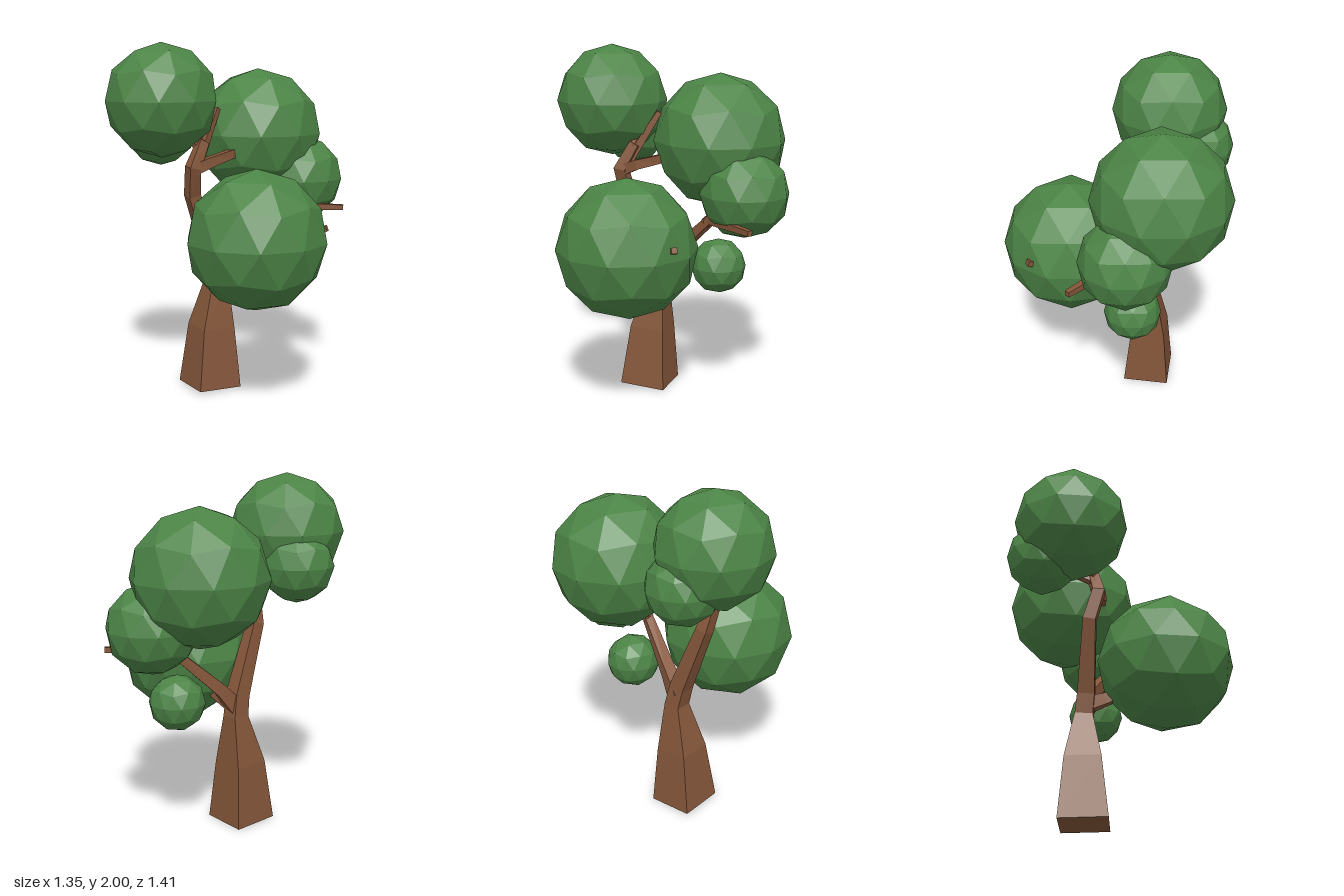
import * as THREE from 'three';

const V = (x, y, z) => new THREE.Vector3(x, y, z);
const UP = V(0, 1, 0);
const TRUNK_SIDE = V(0.883, 0, -0.47); // direction of one side of the square trunk

// Square limb swept through nodes [x, y, z, halfWidth]
function limb(name, nodes, ref, material) {
  const points = nodes.map(n => V(n[0], n[1], n[2]));
  const positions = [], index = [];
  points.forEach((p, i) => {
    const t = V(0, 0, 0);
    if (i > 0) t.add(p.clone().sub(points[i - 1]).normalize());
    if (i < points.length - 1) t.add(points[i + 1].clone().sub(p).normalize());
    t.normalize();
    const u = ref.clone().addScaledVector(t, -ref.dot(t)).normalize();
    const v = t.clone().cross(u);
    const h = nodes[i][3];
    for (const [a, b] of [[1, 1], [-1, 1], [-1, -1], [1, -1]]) {
      const c = p.clone().addScaledVector(u, a * h).addScaledVector(v, b * h);
      positions.push(c.x, c.y, c.z);
    }
    if (i === 0) return;
    for (let k = 0; k < 4; k++) {
      const a = (i - 1) * 4 + k, b = (i - 1) * 4 + (k + 1) % 4;
      index.push(a, b, b + 4, a, b + 4, a + 4);
    }
  });
  const e = (points.length - 1) * 4;
  index.push(0, 2, 1, 0, 3, 2, e, e + 1, e + 2, e, e + 2, e + 3);
  const indexed = new THREE.BufferGeometry();
  indexed.setAttribute('position', new THREE.Float32BufferAttribute(positions, 3));
  indexed.setIndex(index);
  const geometry = indexed.toNonIndexed();
  geometry.computeVertexNormals();
  const mesh = new THREE.Mesh(geometry, material);
  mesh.name = name;
  return mesh;
}

// Faceted ball of leaves, with a vertex at each pole
function leafBall(name, x, y, z, radius, material) {
  const geometry = new THREE.IcosahedronGeometry(radius, 1);
  geometry.rotateX(-Math.atan((1 + Math.sqrt(5)) / 2));
  geometry.rotateY(Math.PI / 2);
  const mesh = new THREE.Mesh(geometry, material);
  mesh.position.set(x, y, z);
  mesh.name = name;
  return mesh;
}

export function createModel() {
  const bark = new THREE.MeshStandardMaterial({ color: 0x85563a, flatShading: true });
  const leaves = new THREE.MeshStandardMaterial({ color: 0x4c8446, flatShading: true });
  const tree = new THREE.Group();
  tree.name = 'tree';

  // Trunk, running on into the main upper limb
  tree.add(limb('trunk', [
    [-0.11, 0.012, -0.0575, 0.133],
    [-0.1, 0.36, -0.07, 0.1],
    [-0.07, 0.64, -0.087, 0.05],
    [-0.085, 0.76, -0.065, 0.048],
    [-0.205, 1.15, 0.025, 0.036],
    [-0.2, 1.31, 0.08, 0.034],
    [-0.145, 1.45, 0.02, 0.028],
  ], TRUNK_SIDE, bark));

  // Branches
  const branches = {
    topTwig: [[-0.19, 1.3, 0.07, 0.024], [-0.135, 1.45, 0.0, 0.022], [-0.065, 1.63, -0.09, 0.015]],
    rightCrownTwig: [[-0.15, 1.43, 0.02, 0.026], [-0.2, 1.5, 0.01, 0.022], [-0.33, 1.6, 0, 0.015]],
    rearTwig: [[-0.15, 1.42, 0.03, 0.024], [-0.22, 1.46, -0.06, 0.02], [-0.35, 1.5, -0.15, 0.015]],
    backCrownBranch: [[-0.2, 1.3, 0.07, 0.032], [-0.1, 1.34, 0.04, 0.028], [0.02, 1.38, -0.03, 0.024], [0.12, 1.43, -0.16, 0.018]],
    leftBranch: [[-0.07, 0.69, -0.08, 0.045], [0.02, 0.8, -0.1, 0.035], [0.32, 1.065, -0.13, 0.024], [0.665, 1.06, -0.08, 0.015]],
    leftTwig: [[0.28, 1.04, -0.125, 0.026], [0.36, 1.14, -0.19, 0.02], [0.42, 1.22, -0.27, 0.015]],
    frontBranch: [[-0.07, 0.7, -0.075, 0.042], [0.0, 0.74, 0.0, 0.032], [0.14, 0.85, 0.16, 0.025], [0.52, 1.01, 0.32, 0.016]],
  };
  for (const [name, nodes] of Object.entries(branches)) tree.add(limb(name, nodes, UP, bark));

  // Foliage
  const foliage = [
    ['topFoliage', -0.375, 1.68, 0, 0.32],
    ['backFoliage', 0.18, 1.475, -0.33, 0.377],
    ['frontFoliage', 0.14, 0.945, 0.32, 0.387],
    ['leftFoliage', 0.43, 1.21, -0.28, 0.25],
    ['rearRightFoliage', -0.39, 1.505, -0.175, 0.205],
    ['smallFoliage', 0.29, 0.78, -0.225, 0.157],
  ];
  for (const ball of foliage) tree.add(leafBall(...ball, leaves));

  return tree;
}
